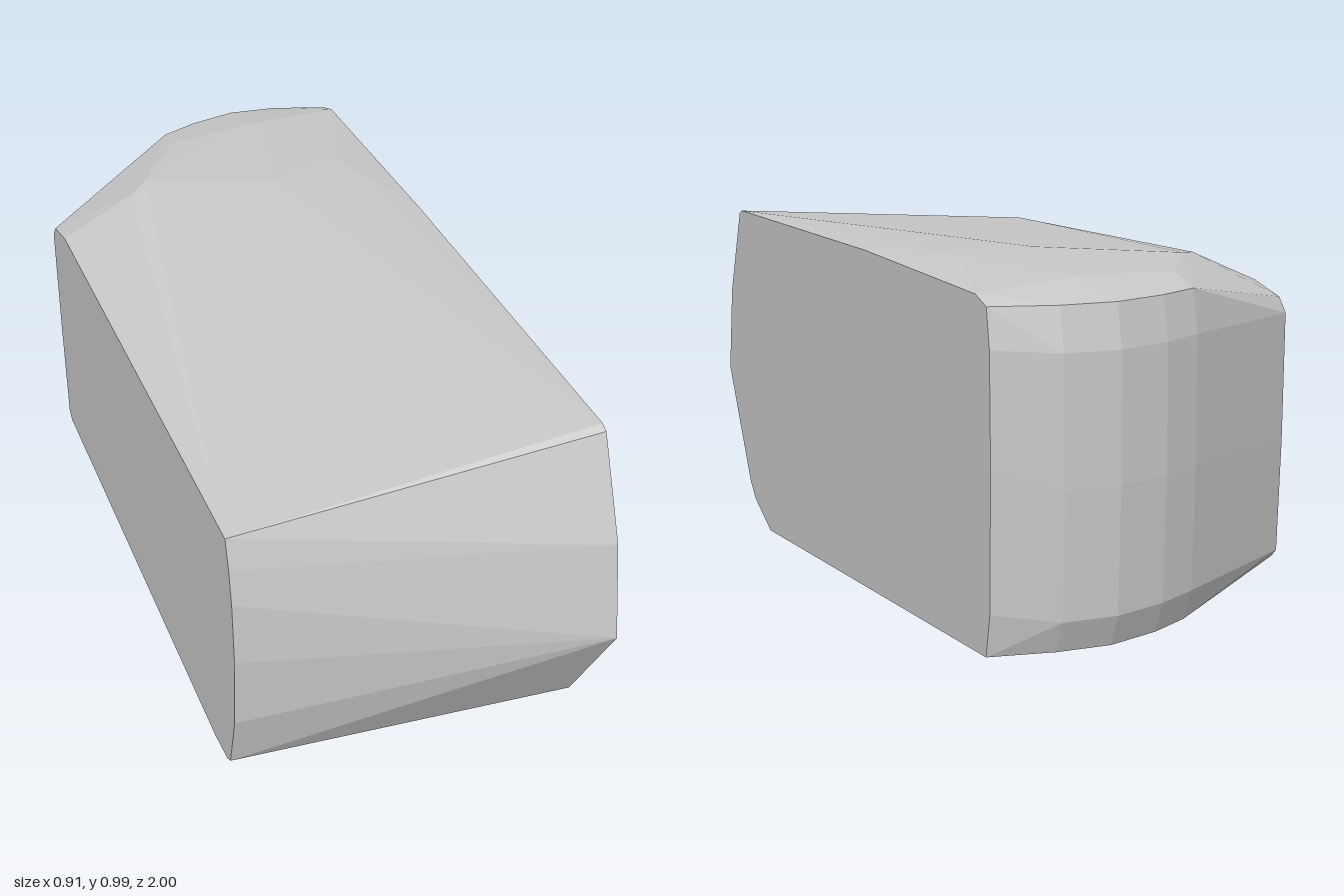
import * as THREE from 'three';
import { ConvexGeometry } from 'three/addons/geometries/ConvexGeometry.js';

export function createModel() {
  const group = new THREE.Group();
  const stoneGrey = new THREE.MeshStandardMaterial({ color: 0xc8c8c8, flatShading: true });
  const points = [];
  const add = (x, y, z) => points.push(new THREE.Vector3(x, y, z));

  // Flat side outlines as [z, y]
  const leftSide = [
    [0.82, 0.94], [0.84, 0.93], [0.86, 0.88], [0.95, 0.68], [1.0, 0.43],
    [0.825, 0.105], [0.78, 0.06], [0.64, 0.0],
    [-0.9, 0.165], [-0.92, 0.27], [-0.925, 0.6], [-0.92, 0.86], [-0.905, 0.95],
    [-0.85, 0.968], [-0.2, 0.968],
  ];
  const rightSide = [
    [0.82, 0.865], [0.84, 0.79], [0.855, 0.7], [0.865, 0.535], [0.855, 0.335],
    [0.815, 0.17], [0.79, 0.155], [0.7, 0.145],
    [-0.65, 0.188], [-0.67, 0.21], [-0.675, 0.5], [-0.67, 0.82], [-0.64, 0.855],
    [-0.53, 0.88],
  ];
  leftSide.forEach(([z, y]) => add(0.457, y, z));
  rightSide.forEach(([z, y]) => add(-0.457, y, z));

  // Bowed back wall: [x, z], rounded over at the top and bottom
  const back = [[-0.05, -0.93], [0.05, -0.972], [0.18, -1.0], [0.31, -0.985]];
  back.forEach(([x, z]) => {
    add(x, 0.17, z + 0.035);
    add(x, 0.25, z + 0.004);
    add(x, 0.55, z);
    add(x, 0.85, z + 0.008);
    add(x, 0.95, z + 0.03);
  });

  // Gently domed top
  [
    [0.34, 0.99, -0.5], [0.12, 0.99, -0.45], [0.2, 0.982, -0.82],
    [-0.2, 0.976, -0.6], [-0.26, 0.966, -0.55], [-0.06, 0.972, -0.8],
  ].forEach((p) => add(...p));

  const block = new THREE.Mesh(new ConvexGeometry(points), stoneGrey);
  block.name = 'facetedBlock';
  group.add(block);
  return group;
}
